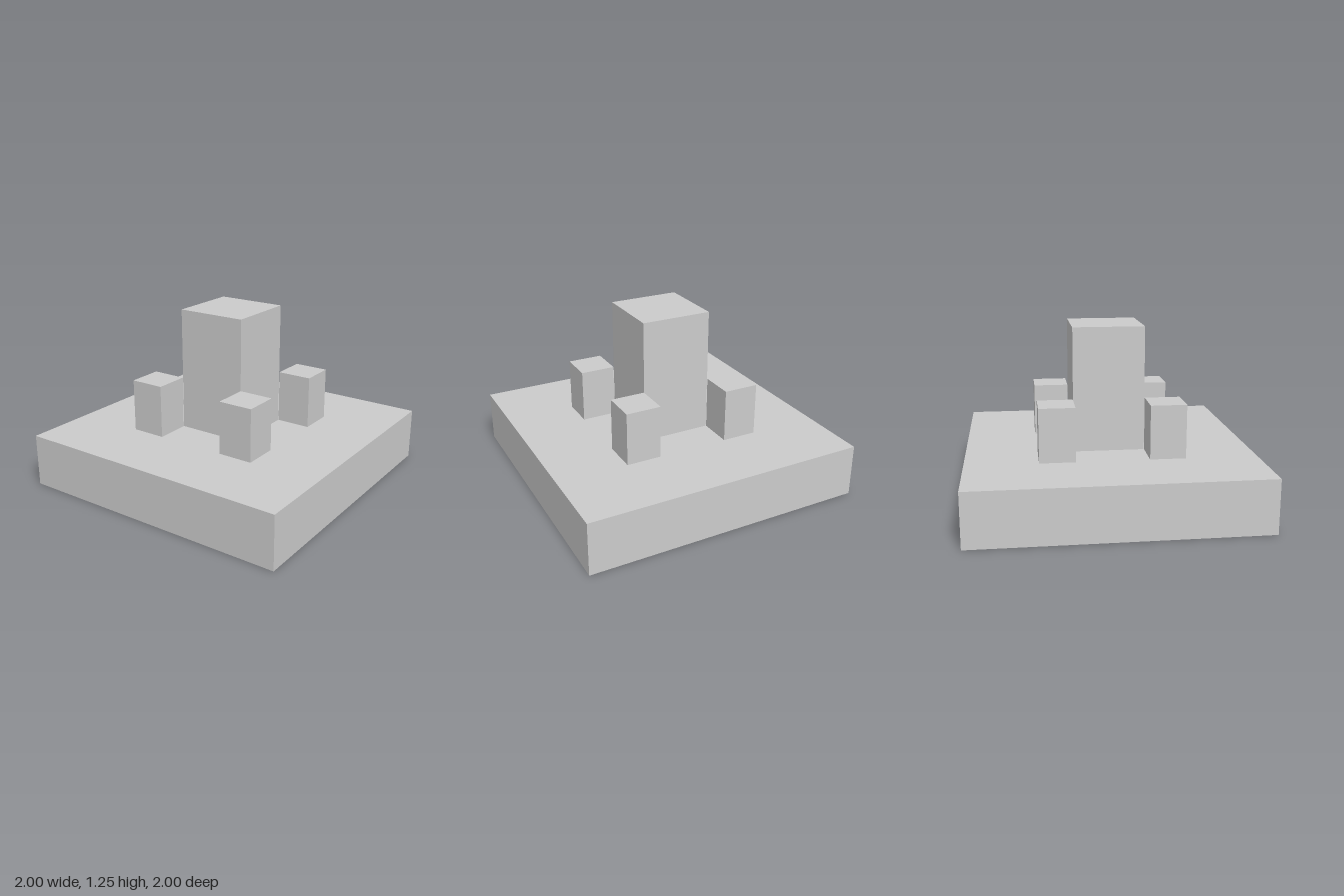
import * as THREE from 'three';

const material = new THREE.MeshStandardMaterial({ color: 0xcccccc, flatShading: true });

// Square block standing on height y0
function block(name, width, y0, y1, x = 0, z = 0) {
  const mesh = new THREE.Mesh(new THREE.BoxGeometry(width, y1 - y0, width), material);
  mesh.name = name;
  mesh.position.set(x, (y0 + y1) / 2, z);
  return mesh;
}

export function createModel() {
  const model = new THREE.Group();
  model.name = 'towerOnBase';
  const baseTop = 0.375;

  // Slab and central tower
  model.add(block('base', 2, 0, baseTop));
  model.add(block('centralTower', 0.5, baseTop, 1.25));

  // Four short posts, just clear of the tower's corners
  for (const [sideName, sx] of [['Left', 1], ['Right', -1]]) {
    for (const [endName, sz] of [['front', 1], ['back', -1]]) {
      model.add(block(`${endName}${sideName}Post`, 0.248, baseTop, 0.75, sx * 0.376, sz * 0.376));
    }
  }
  return model;
}
